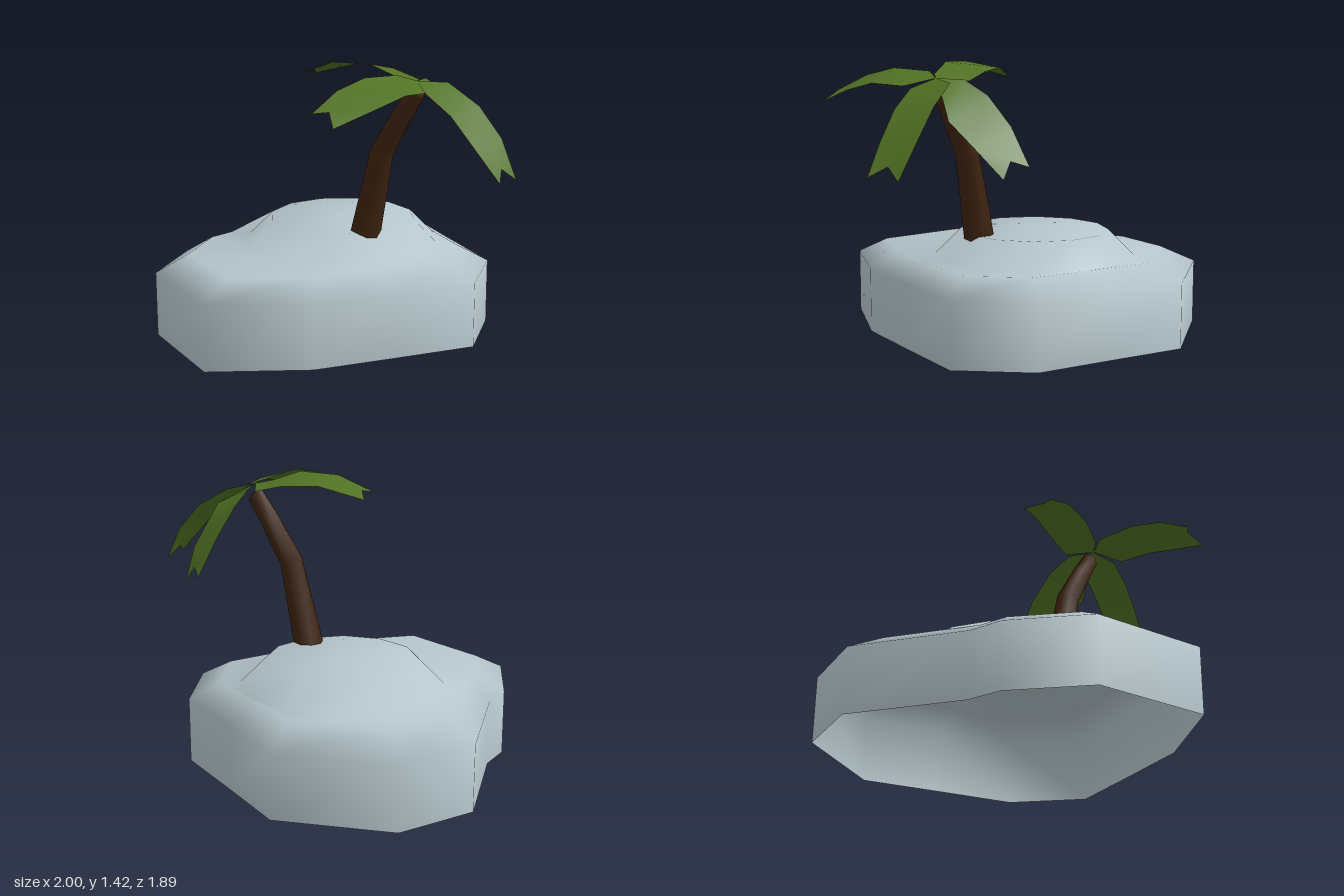
import * as THREE from 'three';

const rockMat = new THREE.MeshStandardMaterial({ color: 0xb6c6cc, side: THREE.DoubleSide });
rockMat.name = 'paleStone';
const barkMat = new THREE.MeshStandardMaterial({ color: 0x3f2410, side: THREE.DoubleSide });
barkMat.name = 'darkBark';
const leafMat = new THREE.MeshStandardMaterial({ color: 0x527324, side: THREE.DoubleSide });
leafMat.name = 'leafGreen';

function makeMesh(name, points, index, material) {
  const geo = new THREE.BufferGeometry();
  geo.setAttribute('position', new THREE.Float32BufferAttribute(points.flat(), 3));
  geo.setIndex(index);
  geo.computeVertexNormals();
  const mesh = new THREE.Mesh(geo, material);
  mesh.name = name;
  return mesh;
}

// Skin over closed rings from bottom to top, ending in a fan around one point
function loft(name, rings, top, material) {
  const n = rings[0].length;
  const points = [...rings.flat(), top];
  const index = [];
  for (let r = 0; r < rings.length; r++) {
    for (let i = 0; i < n; i++) {
      const a = r * n + i;
      const b = r * n + (i + 1) % n;
      if (r === rings.length - 1) index.push(a, points.length - 1, b);
      else index.push(a, a + n, b, b, a + n, b + n);
    }
  }
  return makeMesh(name, points, index, material);
}

// Leaf strip from a base point through edge pairs to a notched tip
function frond(name, base, pairs, notch) {
  const points = [base, ...pairs.flat(), notch];
  const index = [0, 1, 2];
  const last = pairs.length - 1;
  for (let i = 0; i < last; i++) {
    const a = 1 + i * 2;
    if (i < last - 1) index.push(a, a + 2, a + 1, a + 1, a + 2, a + 3);
    else {
      const t = points.length - 1;
      index.push(a, a + 2, t, a, t, a + 1, a + 1, t, a + 3);
    }
  }
  return makeMesh(name, points, index, leafMat);
}

export function createModel() {
  const group = new THREE.Group();

  // Island: irregular twelve-sided shore, bevelled edge, round low hill, open below
  const shore = [
    [0.70, -0.20], [0.51, 0.19], [0.32, 0.57], [-0.05, 0.94], [-0.62, 0.75], [-0.81, 0.37],
    [-0.81, 0.19], [-1.0, -0.38], [-0.81, -0.76], [-0.24, -0.95], [0.13, -0.76], [0.51, -0.57],
  ];
  const shoreRing = (y, s) => shore.map(([x, z]) => [x * s - 0.15 * (1 - s), y, z * s]);
  const hillRing = (y, r) => shore.map((_, i) => {
    const a = (i / shore.length) * Math.PI * 2;
    return [-0.145 + r * Math.cos(a), y, -0.15 + r * Math.sin(a)];
  });
  group.add(loft('island', [
    shoreRing(0, 1), shoreRing(0.335, 1), shoreRing(0.42, 0.81),
    hillRing(0.42, 0.515), hillRing(0.55, 0.385),
  ], [-0.145, 0.55, -0.15], rockMat));

  // Trunk: leaning, tapering rings given as x, y, radius, tilt
  const trunkRings = [
    [0.135, 0.47, 0.08, 0.25], [0.255, 0.97, 0.06, 0.42],
    [0.38, 1.165, 0.052, 0.7], [0.475, 1.3, 0.045, 0.75],
  ].map(([x, y, r, tilt]) => Array.from({ length: 8 }, (_, i) => {
    const a = (i / 8) * Math.PI * 2;
    const u = r * Math.cos(a);
    return [x + u * Math.cos(tilt), y - u * Math.sin(tilt), r * Math.sin(a)];
  }));
  group.add(loft('trunk', trunkRings, [0.485, 1.31, 0], barkMat));

  // Crown: four drooping fronds
  const crown = new THREE.Group();
  crown.name = 'crown';
  const heart = [0.49, 1.355, 0.02];
  crown.add(frond('rightFrond', heart, [
    [[0.40, 1.34, -0.11], [0.42, 1.37, 0.08]],
    [[0.24, 1.38, -0.10], [0.27, 1.425, 0.115]],
    [[0.05, 1.39, -0.06], [0.06, 1.42, 0.145]],
    [[-0.17, 1.33, 0.02], [-0.14, 1.345, 0.17]],
  ], [-0.11, 1.36, 0.10]));
  crown.add(frond('leftFrond', heart, [
    [[0.60, 1.31, 0.09], [0.57, 1.34, -0.12]],
    [[0.74, 1.22, 0.08], [0.74, 1.24, -0.145]],
    [[0.87, 1.08, 0.065], [0.87, 1.10, -0.15]],
    [[1.0, 0.93, 0.04], [0.98, 0.92, -0.12]],
  ], [0.95, 0.98, -0.04]));
  crown.add(frond('frontFrond', heart, [
    [[0.43, 1.385, 0.10], [0.62, 1.32, 0.12]],
    [[0.42, 1.395, 0.32], [0.64, 1.33, 0.29]],
    [[0.41, 1.355, 0.50], [0.62, 1.29, 0.46]],
    [[0.41, 1.27, 0.67], [0.55, 1.22, 0.68]],
  ], [0.48, 1.28, 0.63]));
  crown.add(frond('backFrond', heart, [
    [[0.63, 1.26, -0.12], [0.44, 1.35, -0.11]],
    [[0.66, 1.17, -0.17], [0.435, 1.28, -0.24]],
    [[0.655, 1.06, -0.30], [0.45, 1.14, -0.38]],
    [[0.61, 0.91, -0.44], [0.48, 0.96, -0.50]],
  ], [0.55, 0.99, -0.44]));
  group.add(crown);

  return group;
}
